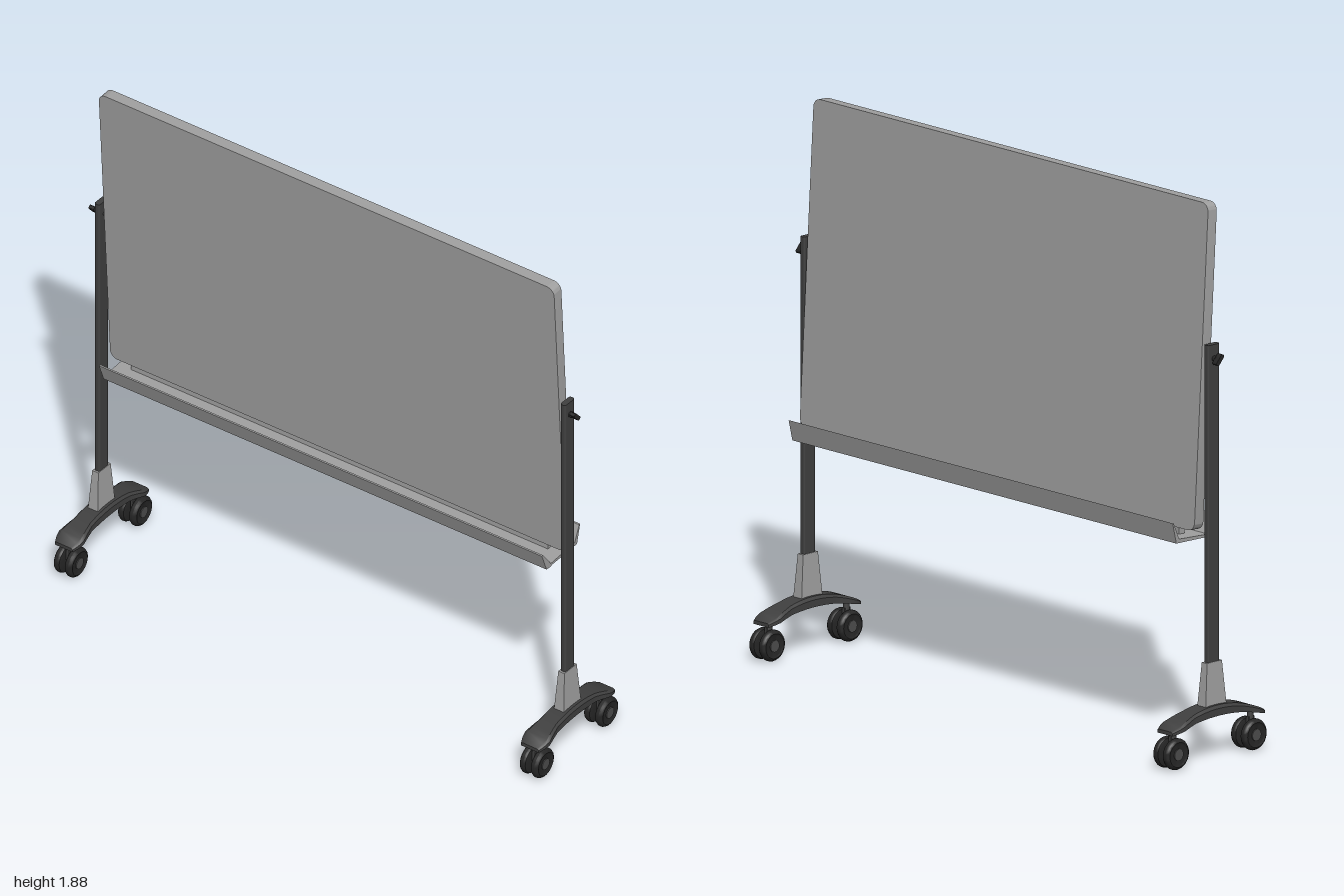
import * as THREE from 'three';
import { toCreasedNormals } from 'three/addons/utils/BufferGeometryUtils.js';
import { ConvexGeometry } from 'three/addons/geometries/ConvexGeometry.js';

const mat = (name, color) => new THREE.MeshStandardMaterial({ name, color });
const mats = {
  grey: mat('lightGrey', 0x9f9f9f),
  dark: mat('darkGrey', 0x3f3f3f),
  hub: mat('hubGrey', 0x4c4c4c),
  black: mat('rubberBlack', 0x252525),
};

function add(parent, name, geometry, material, x = 0, y = 0, z = 0) {
  const mesh = new THREE.Mesh(geometry, material);
  mesh.name = name;
  mesh.position.set(x, y, z);
  parent.add(mesh);
  return mesh;
}

function roundedRect(w, h, r) {
  const s = new THREE.Shape();
  s.absarc(w / 2 - r, h / 2 - r, r, 0, Math.PI / 2);
  s.absarc(-w / 2 + r, h / 2 - r, r, Math.PI / 2, Math.PI);
  s.absarc(-w / 2 + r, -h / 2 + r, r, Math.PI, Math.PI * 1.5);
  s.absarc(w / 2 - r, -h / 2 + r, r, Math.PI * 1.5, Math.PI * 2);
  return s;
}

// Extrusion centred on its own depth
function slab(shape, depth) {
  const g = new THREE.ExtrudeGeometry(shape, { depth, bevelEnabled: false, curveSegments: 8 });
  g.translate(0, 0, -depth / 2);
  return toCreasedNormals(g, 0.6);
}

// Closed skin through equal-length rings of points
function loft(rings) {
  const n = rings[0].length, p = [];
  const tri = (...pts) => pts.forEach((q) => p.push(...q));
  for (let i = 0; i < rings.length - 1; i++) {
    for (let j = 0; j < n; j++) {
      const k = (j + 1) % n;
      const a = rings[i][j], b = rings[i + 1][j], c = rings[i + 1][k], d = rings[i][k];
      tri(a, b, c);
      tri(a, c, d);
    }
  }
  const first = rings[0], last = rings[rings.length - 1];
  for (let j = 1; j < n - 1; j++) {
    tri(first[0], first[j], first[j + 1]);
    tri(last[0], last[j + 1], last[j]);
  }
  const g = new THREE.BufferGeometry();
  g.setAttribute('position', new THREE.Float32BufferAttribute(p, 3));
  return toCreasedNormals(g, 0.5);
}

// Arched foot, widening above the casters
function footGeometry() {
  const rings = [];
  for (let i = 0; i <= 20; i++) {
    const t = i / 10 - 1, a = Math.abs(t);
    const top = 0.187 - 0.053 * t * t, bottom = 0.152 - 0.031 * t * t;
    let w = 0.037;
    if (a > 0.5) w = 0.037 + 0.013 * Math.min(1, (a - 0.5) / 0.3);
    if (a > 0.85) w = 0.05 - 0.014 * (a - 0.85) / 0.15;
    const edge = top - (top - bottom) * 0.3;
    rings.push([[w * 0.8, top], [-w * 0.8, top], [-w, edge], [-w, bottom], [w, bottom], [w, edge]]
      .map(([z, y]) => [t * 0.212, y, z]));
  }
  return loft(rings);
}

function zCylinder(r, length, sides = 28) {
  return new THREE.CylinderGeometry(r, r, length, sides).rotateX(Math.PI / 2);
}

// Twin-wheel caster, axle along z
function caster(x) {
  const g = new THREE.Group();
  g.name = 'caster';
  g.position.set(x, 0.053, 0);
  const profile = [[0, -0.014], [0.04, -0.014], [0.049, -0.011], [0.053, -0.004], [0.053, 0.004],
    [0.049, 0.011], [0.042, 0.015], [0.036, 0.012], [0, 0.012]].map((q) => new THREE.Vector2(...q));
  for (const s of [1, -1]) {
    const tyre = toCreasedNormals(new THREE.LatheGeometry(profile, 32).rotateX(s * Math.PI / 2), 0.6);
    add(g, 'wheel', tyre, mats.black, 0, 0, s * 0.0225);
    add(g, 'wheelHub', zCylinder(0.02, 0.006), mats.hub, 0, 0, s * 0.035);
  }
  add(g, 'axle', zCylinder(0.014, 0.03), mats.dark);
  add(g, 'casterFork', new THREE.BoxGeometry(0.026, 0.055, 0.012), mats.dark, -0.006, 0.03, 0);
  add(g, 'casterStem', new THREE.CylinderGeometry(0.009, 0.012, 0.035, 16), mats.dark, -0.006, 0.066, 0);
  return g;
}

function stand(side) {
  const g = new THREE.Group();
  g.name = side > 0 ? 'frontStand' : 'backStand';
  g.position.z = side * 0.95;

  add(g, 'foot', footGeometry(), mats.dark, -0.007, 0, 0);
  g.add(caster(-0.18), caster(0.177));

  // Tapered socket
  const pts = [];
  for (const sx of [-1, 1]) for (const sz of [-1, 1]) {
    pts.push(new THREE.Vector3(sx * 0.048, 0.178, sz * 0.02), new THREE.Vector3(sx * 0.034, 0.33, sz * 0.0125));
  }
  add(g, 'socket', new ConvexGeometry(pts), mats.grey, -0.01, 0, 0);

  // Flat post with rounded edges
  const post = slab(roundedRect(0.054, 0.021, 0.007), 1.1).rotateX(-Math.PI / 2);
  add(g, 'post', post, mats.dark, -0.01, 0.86, 0);

  // Pivot rod and wing knob
  add(g, 'pivotRod', zCylinder(0.006, 0.055, 16), mats.dark, -0.01, 1.362, side * -0.005);
  add(g, 'knobCollar', zCylinder(0.01, 0.012, 16), mats.black, -0.01, 1.362, side * 0.016);
  const wing = add(g, 'wingKnob', slab(roundedRect(0.042, 0.015, 0.006), 0.02), mats.black, -0.01, 1.362, side * 0.03);
  wing.rotation.z = -0.85;
  return g;
}

export function createModel() {
  const model = new THREE.Group();
  model.name = 'mobileBoard';

  // Tilted board with rounded corners
  const board = slab(roundedRect(1.856, 1.106, 0.03), 0.04).rotateY(Math.PI / 2);
  add(model, 'board', board, mats.grey, -0.003, 1.328, 0).rotation.z = 0.059;

  // Double-sided tray, a flared channel under the board
  const tray = new THREE.Shape([[-0.062, 0.737], [-0.036, 0.736], [-0.034, 0.739], [0.107, 0.743],
    [0.124, 0.815], [0.119, 0.813], [0.094, 0.756], [-0.038, 0.748], [-0.082, 0.807], [-0.088, 0.806]]
    .map((q) => new THREE.Vector2(...q)));
  add(model, 'tray', slab(tray, 1.806), mats.grey);
  add(model, 'trayBracket', new THREE.BoxGeometry(0.025, 0.035, 1.7), mats.grey, 0.03, 0.766, 0);

  model.add(stand(1), stand(-1));
  return model;
}
